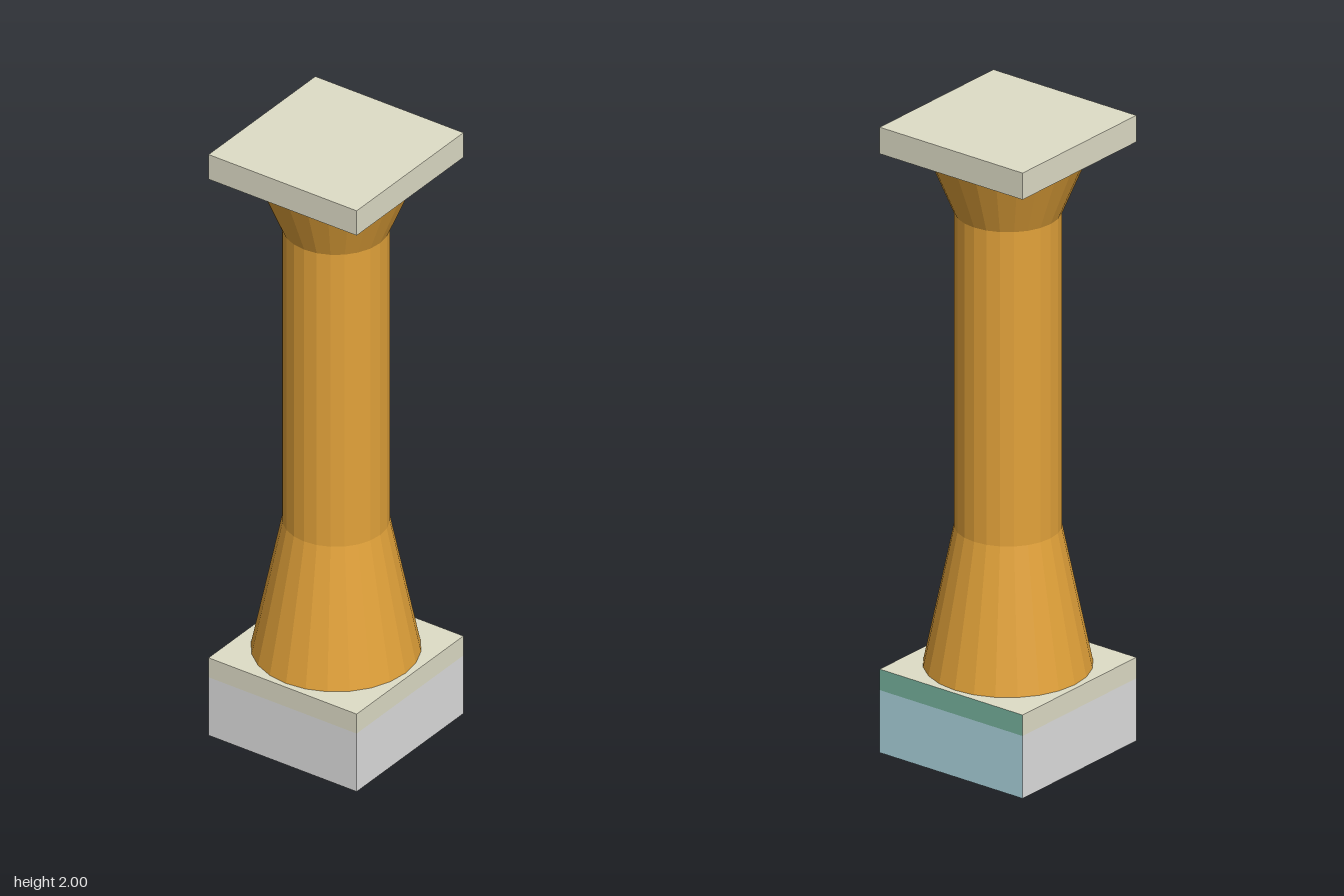
import * as THREE from 'three';

const paint = (name, color) => {
  const m = new THREE.MeshStandardMaterial({ color });
  m.name = name;
  return m;
};

export function createModel() {
  const cream = paint('cream stone', 0xdfddc7);
  const grey = paint('light grey stone', 0xdfdfdf);
  const blue = paint('pale blue', 0xaed6e0);
  const green = paint('sea green', 0x78b4a0);
  const ochre = paint('ochre', 0xe2a23a);
  ochre.flatShading = true;

  const group = new THREE.Group();
  group.name = 'column';
  const width = 0.534;

  // Square slab between two heights; the back face may have its own colour
  const slab = (name, y0, y1, material, back = material) => {
    const geometry = new THREE.BoxGeometry(width, y1 - y0, width);
    const mesh = new THREE.Mesh(geometry, [material, material, material, material, material, back]);
    mesh.name = name;
    mesh.position.y = (y0 + y1) / 2;
    group.add(mesh);
  };
  slab('plinth', 0, 0.2, grey, blue);
  slab('plinthBand', 0.2, 0.267, cream, green);
  slab('capSlab', 1.915, 2, cream);

  // Faceted shaft, flared at the foot and the head
  const profile = [[0.25, 0.267], [0.159, 0.71], [0.159, 1.715], [0.242, 1.915]];
  const shaft = new THREE.Mesh(
    new THREE.LatheGeometry(profile.map(([r, y]) => new THREE.Vector2(r, y)), 24),
    ochre
  );
  shaft.name = 'shaft';
  group.add(shaft);

  return group;
}
